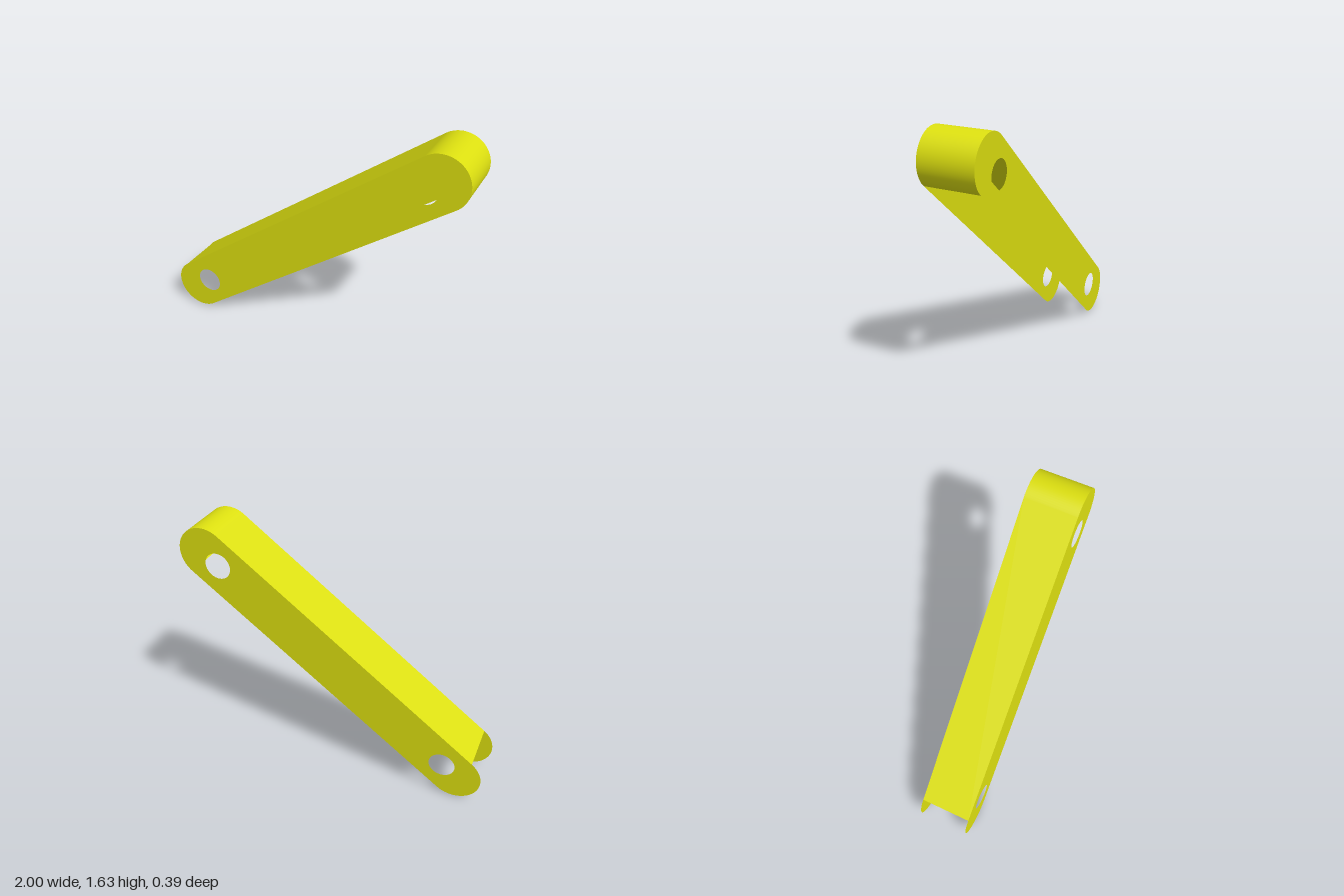
import * as THREE from 'three';

export function createModel() {
  const root = new THREE.Group();
  root.name = 'channelLink';
  const mat = new THREE.MeshStandardMaterial({ color: 0xdde010, side: THREE.DoubleSide });

  const R = 0.171;      // end radius, half the plate width
  const L = 1.044;      // half distance between end centres
  const D = 0.168;      // half depth between the plates
  const holeAt = 0.935; // hole distance from the middle
  const holeR = 0.085;

  const add = (geometry, name) => {
    const mesh = new THREE.Mesh(geometry, mat);
    mesh.name = name;
    root.add(mesh);
    return mesh;
  };

  // thin side plates with rounded ends and a hole near each end
  const outline = new THREE.Shape();
  outline.absarc(L, 0, R, -Math.PI / 2, Math.PI / 2, false);
  outline.absarc(-L, 0, R, Math.PI / 2, Math.PI * 1.5, false);
  outline.closePath();
  for (const s of [-1, 1]) {
    const hole = new THREE.Path();
    hole.absarc(s * holeAt, 0, holeR, 0, Math.PI * 2, true);
    outline.holes.push(hole);
  }
  const plate = new THREE.ShapeGeometry(outline, 40);
  add(plate, 'frontPlate').position.z = D;
  const back = add(plate.clone().rotateY(Math.PI), 'backPlate');
  back.position.z = -D;

  // flat web joining the upper edges of the plates
  add(new THREE.PlaneGeometry(2 * L, 2 * D).rotateX(-Math.PI / 2), 'topWeb').position.y = R;

  // half-round wall closing the upper end
  const cap = new THREE.CylinderGeometry(R, R, 2 * D, 40, 1, true, 0, Math.PI);
  add(cap.rotateX(Math.PI / 2), 'endWall').position.x = L;

  // lean the whole link
  const n = new THREE.Vector3(-0.0064, 0.0415, 1).normalize();
  const angle = Math.atan2(0.637, 0.827);
  const u = new THREE.Vector3(Math.cos(angle), Math.sin(angle), 0);
  u.addScaledVector(n, -u.dot(n)).normalize();
  const v = new THREE.Vector3().crossVectors(n, u);
  root.quaternion.setFromRotationMatrix(new THREE.Matrix4().makeBasis(u, v, n));
  root.position.y = 0.815;

  const model = new THREE.Group();
  model.name = 'model';
  model.add(root);
  return model;
}
